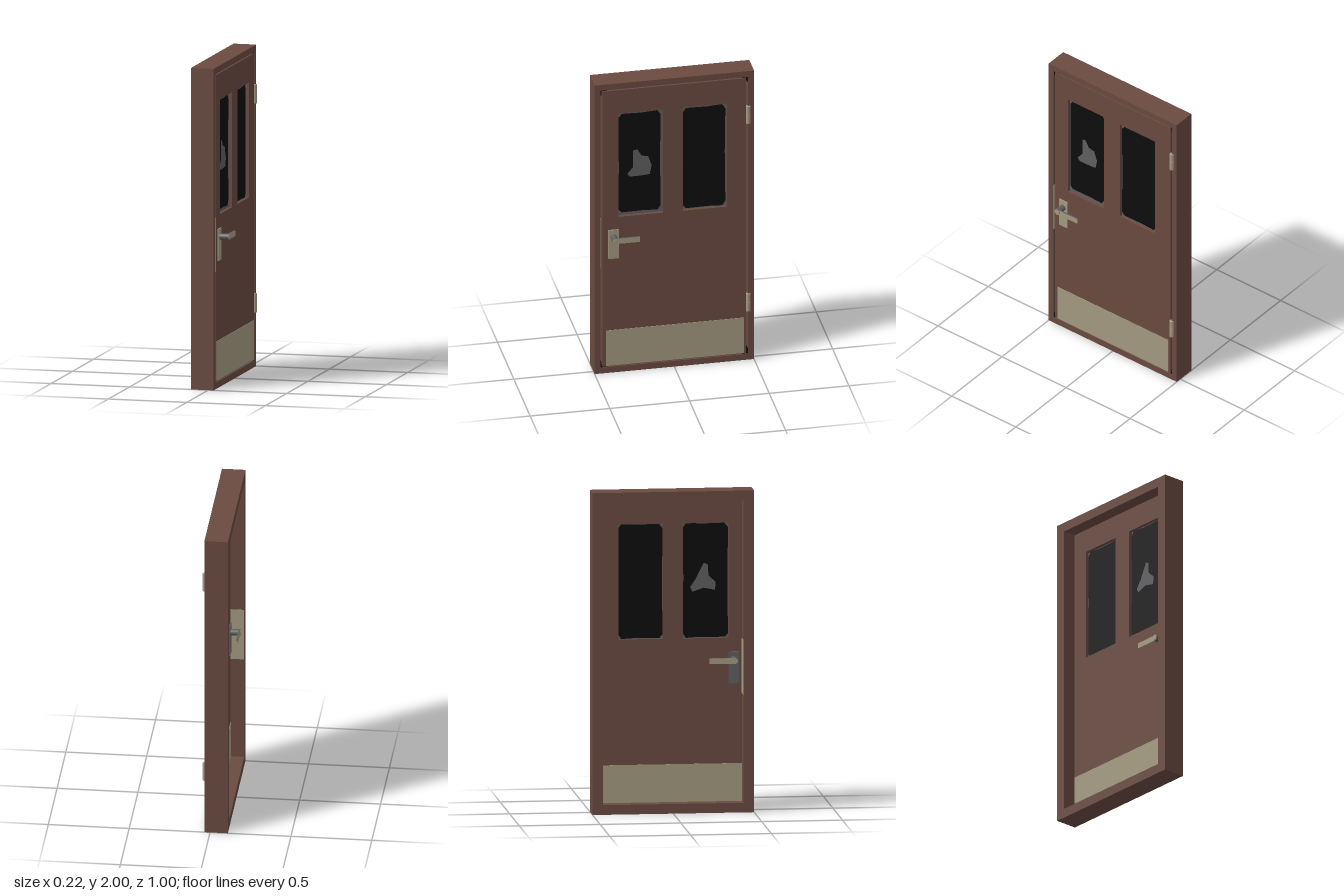
import * as THREE from 'three';

const mat = (name, color, extra = {}) => {
  const m = new THREE.MeshStandardMaterial({ color, ...extra });
  m.name = name;
  return m;
};

// The door faces +x. Front of the leaf is at FRONT, its back at BACK.
const FRONT = 0.035, BACK = -0.025, REAR = -0.11;

export function createModel() {
  const brown = mat('brown wood', 0x6a4a40);
  const brass = mat('pale brass', 0xa39a80);
  const steel = mat('grey steel', 0x5f5f61);
  const black = mat('black pane', 0x0d0d0d);

  const model = new THREE.Group();
  model.name = 'door';

  const add = (parent, name, geometry, material) => {
    const mesh = new THREE.Mesh(geometry, material);
    mesh.name = name;
    parent.add(mesh);
    return mesh;
  };
  // Box given by its limits on each axis
  const box = (parent, name, x0, x1, y0, y1, z0, z1, material) => {
    const g = new THREE.BoxGeometry(x1 - x0, y1 - y0, z1 - z0);
    g.translate((x0 + x1) / 2, (y0 + y1) / 2, (z0 + z1) / 2);
    return add(parent, name, g, material);
  };
  const outline = (points) => points.map(([z, y]) => new THREE.Vector2(z, y));
  const rect = (z0, z1, y0, y1) => [[z0, y0], [z1, y0], [z1, y1], [z0, y1]];
  // Slab with holes, drawn in (z, y) and filling x0..x1
  const slab = (parent, name, x0, x1, points, holes, material) => {
    const shape = new THREE.Shape(outline(points));
    holes.forEach((h) => shape.holes.push(new THREE.Path(outline(h))));
    const g = new THREE.ExtrudeGeometry(shape, { depth: x1 - x0, bevelEnabled: false });
    g.rotateY(-Math.PI / 2);
    g.translate(x1, 0, 0);
    return add(parent, name, g, material);
  };

  // Frame: narrow rebate in front, deeper stop behind the leaf
  const frame = new THREE.Group();
  frame.name = 'frame';
  model.add(frame);
  const outer = rect(-0.5, 0.5, 0, 2);
  slab(frame, 'frameFront', BACK, FRONT, outer, [rect(-0.462, 0.462, 0.04, 1.96)], brown);
  slab(frame, 'frameStop', REAR, BACK, outer, [rect(-0.435, 0.435, 0.06, 1.94)], brown);

  // Dark gap corners between leaf and frame
  for (const s of [-1, 1]) {
    for (const [y, up] of [[0.04, 1], [1.96, -1]]) {
      const yEnd = y + up * 0.035, yThin = y + up * 0.006;
      box(frame, 'gapCorner', BACK, 0.03, Math.min(y, yEnd), Math.max(y, yEnd),
        s > 0 ? 0.456 : -0.462, s > 0 ? 0.462 : -0.456, black);
      box(frame, 'gapCorner', BACK, 0.03, Math.min(y, yThin), Math.max(y, yThin),
        s > 0 ? 0.425 : -0.462, s > 0 ? 0.462 : -0.425, black);
    }
  }

  // Strike plate wrapped over the jamb
  box(frame, 'strikePlate', REAR + 0.001, BACK, 0.73, 1.07, 0.433, 0.436, brass);
  box(frame, 'strikePlate', BACK, FRONT + 0.001, 0.73, 1.07, 0.459, 0.463, brass);

  // Leaf with two window openings
  const windows = [[0.07, 0.35], [-0.33, -0.055]];
  const y0 = 1.075, y1 = 1.79;
  slab(model, 'leaf', BACK, FRONT, rect(-0.45, 0.45, 0.045, 1.953),
    windows.map(([a, b]) => rect(a, b, y0, y1)), brown);

  // Grey panes with ragged black sheets on both sides
  const ragged = (a, b, c, d) => [
    [a + 0.02, c], [a + 0.11, c + 0.005], [b - 0.02, c + 0.003], [b, c + 0.025],
    [b - 0.003, 1.4], [b, d - 0.03], [b - 0.022, d - 0.003], [a + 0.12, d - 0.006],
    [a + 0.02, d], [a, d - 0.03], [a + 0.004, 1.45], [a, c + 0.03],
  ];
  const frontBreak = [[0.255, 1.515], [0.228, 1.52], [0.202, 1.475], [0.16, 1.465],
    [0.138, 1.4], [0.15, 1.34], [0.215, 1.335], [0.275, 1.335], [0.292, 1.355],
    [0.255, 1.4], [0.255, 1.46]];
  const backBreak = [[0.2, 1.54], [0.225, 1.53], [0.23, 1.46], [0.275, 1.42],
    [0.27, 1.37], [0.2, 1.385], [0.13, 1.36], [0.115, 1.39], [0.15, 1.44], [0.18, 1.5]];
  windows.forEach(([a, b], i) => {
    box(model, 'pane', -0.003, 0.013, y0, y1, a, b, steel);
    const inset = i === 0 ? [a + 0.012, b - 0.003, y0 + 0.015, y1 - 0.012]
      : [a + 0.006, b - 0.002, y0 + 0.002, y1 - 0.013];
    slab(model, 'paneFrontCoat', 0.013, 0.015, ragged(...inset), i ? [] : [frontBreak], black);
    slab(model, 'paneBackCoat', -0.005, -0.003, ragged(a, b, y0, y1), i ? [] : [backBreak], black);
  });

  // Kick plates
  box(model, 'kickPlateFront', FRONT, FRONT + 0.003, 0.05, 0.295, -0.435, 0.43, brass);
  box(model, 'kickPlateBack', BACK - 0.003, BACK, 0.06, 0.295, -0.434, 0.434, brass);

  // Handles: s = 1 in front, -1 behind
  const handle = (name, face, s, plateMaterial) => {
    const g = new THREE.Group();
    g.name = name;
    model.add(g);
    const span = (a, b) => [face + s * a, face + s * b].sort((p, q) => p - q);
    const round = (part, r, a, b, material) => {
      const c = new THREE.CylinderGeometry(r, r, b - a, 24);
      c.rotateZ(-s * Math.PI / 2);
      c.translate(face + s * (a + b) / 2, 0.94, 0.382);
      add(g, part, c, material);
    };
    box(g, 'backPlate', ...span(0, 0.008), 0.792, 0.99, 0.35, 0.415, plateMaterial);
    round('spindle', 0.02, 0.008, 0.068, [steel, brass, steel]);
    round('spindleCap', 0.016, 0.068, 0.07, brass);
    // Grey top edge, brass elsewhere
    box(g, 'lever', ...span(0.055, 0.065), 0.922, 0.957, 0.228, 0.375,
      [brass, brass, steel, brass, brass, brass]);
  };
  handle('frontHandle', FRONT, 1, brass);
  handle('backHandle', BACK, -1, steel);

  // Hinges: two knuckles each
  for (const y of [0.4, 1.7]) {
    for (const s of [-1, 1]) {
      const knuckle = new THREE.CylinderGeometry(0.015, 0.015, 0.058, 20);
      knuckle.translate(FRONT, y + s * 0.03, -0.463);
      add(model, 'hinge', knuckle, brass);
    }
  }

  return model;
}
